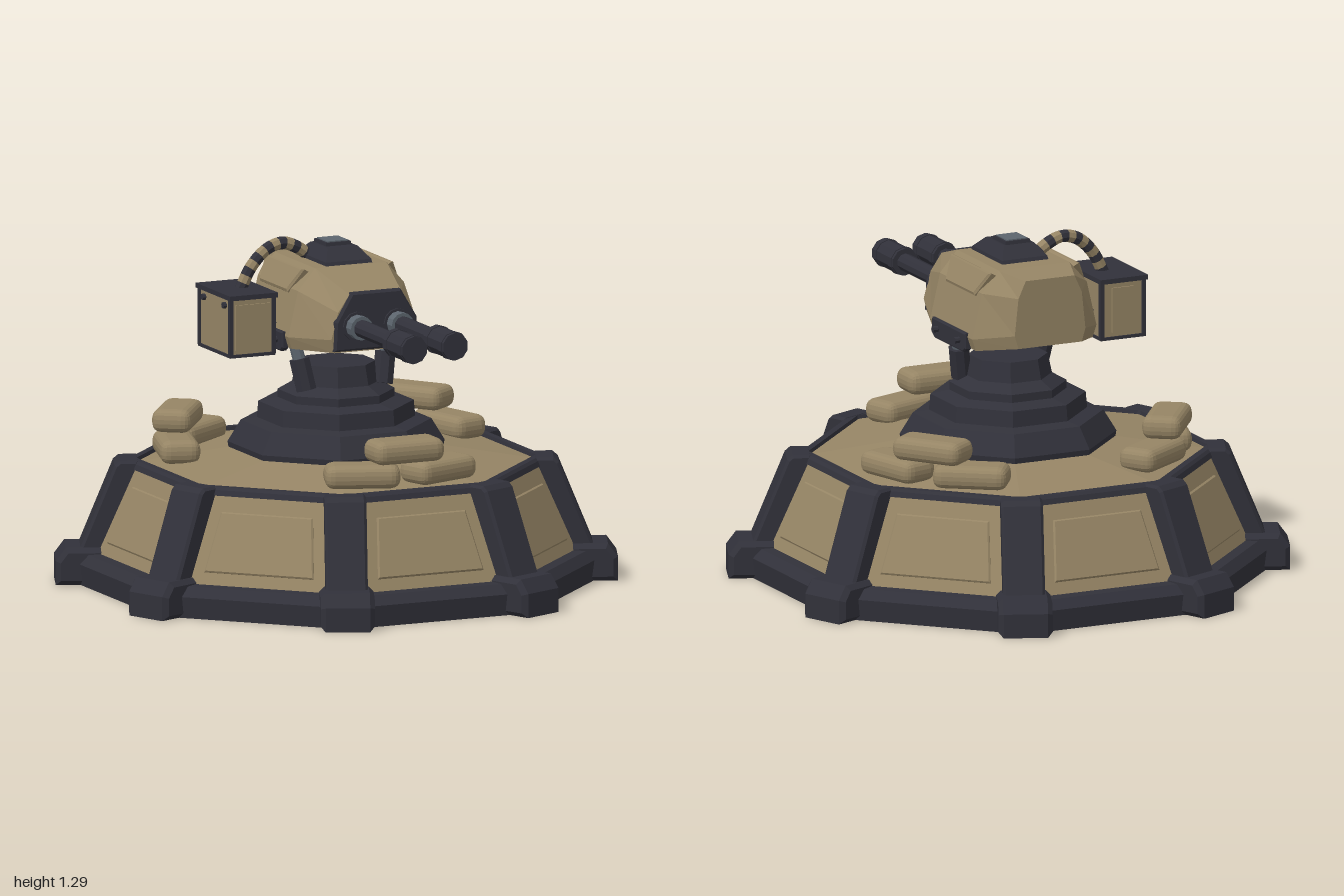
import * as THREE from 'three';
import { RoundedBoxGeometry } from 'three/addons/geometries/RoundedBoxGeometry.js';

const material = (name, color, flat = true) => {
  const m = new THREE.MeshStandardMaterial({ color, flatShading: flat });
  m.name = name;
  return m;
};

export function createModel() {
  const tan = material('sand paint', 0x968565);
  const dark = material('dark metal', 0x31313a);
  const grey = material('grey steel', 0x5c656e);
  const model = new THREE.Group();
  model.name = 'turretEmplacement';

  function add(name, geometry, mat, x = 0, y = 0, z = 0, parent = model) {
    const mesh = new THREE.Mesh(geometry, mat);
    mesh.name = name;
    mesh.position.set(x, y, z);
    parent.add(mesh);
    return mesh;
  }
  function group(name, parent = model) {
    const g = new THREE.Group();
    g.name = name;
    parent.add(g);
    return g;
  }

  // Eight-sided solid from [apothem, height] points, flats facing the axes
  const octagon = (points) => new THREE.LatheGeometry(
    points.map(([a, y]) => new THREE.Vector2(a / Math.cos(Math.PI / 8), y)), 8, Math.PI / 8);

  // Solid through matching loops, listed from back to front
  function loft(rings) {
    const out = [];
    const tri = (...pts) => pts.forEach((p) => out.push(...p));
    const n = rings[0].length;
    for (let i = 0; i < rings.length - 1; i++) {
      for (let j = 0; j < n; j++) {
        const k = (j + 1) % n;
        const [a, b, c, d] = [rings[i][j], rings[i][k], rings[i + 1][k], rings[i + 1][j]];
        tri(a, b, c);
        tri(a, c, d);
      }
    }
    const last = rings[rings.length - 1];
    for (let j = 1; j < n - 1; j++) {
      tri(last[0], last[j], last[j + 1]);
      tri(rings[0][0], rings[0][j + 1], rings[0][j]);
    }
    const g = new THREE.BufferGeometry();
    g.setAttribute('position', new THREE.Float32BufferAttribute(out, 3));
    g.computeVertexNormals();
    return g;
  }
  const rect = (w, h, z) => [[-w, -h, z], [w, -h, z], [w, h, z], [-w, h, z]];

  // Bevelled plate, centred in depth
  function plate(points, depth, bevel) {
    const shape = new THREE.Shape(points.map(([x, y]) => new THREE.Vector2(x, y)));
    const g = new THREE.ExtrudeGeometry(shape, {
      depth: depth - 2 * bevel, bevelEnabled: true, bevelSegments: 1,
      bevelSize: bevel, bevelThickness: bevel, bevelOffset: -bevel,
    });
    return g.translate(0, 0, bevel - depth / 2);
  }
  function rod(name, from, to, r, mat, sides, parent) {
    const a = new THREE.Vector3(...from), b = new THREE.Vector3(...to);
    const mesh = add(name, new THREE.CylinderGeometry(r, r, a.distanceTo(b), sides), mat, 0, 0, 0, parent);
    mesh.position.copy(a).lerp(b, 0.5);
    mesh.quaternion.setFromUnitVectors(new THREE.Vector3(0, 1, 0), b.sub(a).normalize());
    return mesh;
  }

  // Bunker base
  add('baseSkirt', octagon([[0, 0], [0.905, 0], [0.915, 0.08], [0.885, 0.115], [0.82, 0.12]]), dark);
  add('baseWall', octagon([[0.845, 0.115], [0.715, 0.435]]), tan);
  add('baseRim', octagon([[0.70, 0.425], [0.722, 0.43], [0.715, 0.45], [0.705, 0.46], [0.68, 0.46], [0.675, 0.435]]), dark);
  add('deck', octagon([[0.685, 0.445], [0.36, 0.5], [0, 0.5]]), tan);
  const slope = Math.atan2(0.13, 0.32);
  for (let i = 0; i < 8; i++) {
    const side = group('wallSide');
    side.rotation.y = i * Math.PI / 4;
    const panel = add('wallPanel', plate([[-0.215, -0.115], [0.215, -0.115], [0.18, 0.115], [-0.18, 0.115]], 0.016, 0.006),
      tan, 0, 0.267, 0.783, side);
    panel.rotation.x = -slope;
    const corner = group('cornerPost');
    corner.rotation.y = (i + 0.5) * Math.PI / 4;
    add('pillar', plate([[0.78, 0.08], [0.95, 0.1], [0.945, 0.14], [0.82, 0.445], [0.80, 0.462], [0.735, 0.462], [0.72, 0.43]], 0.155, 0.01),
      dark, 0, 0, 0, corner);
    add('foot', plate([[0.82, 0], [1.037, 0], [1.037, 0.09], [1.0, 0.14], [0.84, 0.14]], 0.2, 0.018), dark, 0, 0, 0, corner);
  }

  // Sandbag stacks
  for (const angle of [0, 2.2, -2.2]) {
    const stack = group('sandbagStack');
    stack.rotation.y = angle;
    const bag = (x, y, z, turn) => {
      add('sandbag', new RoundedBoxGeometry(0.28, 0.088, 0.15, 2, 0.036), tan, x, y, z, stack).rotation.y = turn;
    };
    bag(-0.16, 0.503, 0.57, -0.35);
    bag(0.15, 0.503, 0.57, 0.33);
    bag(0, 0.59, 0.595, 0);
  }

  // Pedestal
  add('pedestal', octagon([[0.365, 0.49], [0.37, 0.52], [0.325, 0.6], [0.27, 0.61], [0.265, 0.67], [0.2, 0.685],
    [0.2, 0.715], [0.15, 0.745], [0.135, 0.82], [0, 0.82]]), dark);
  for (const s of [-1, 1]) {
    rod('strutSocket', [s * 0.155, 0.735, 0.075], [s * 0.175, 0.85, 0.055], 0.04, dark, 8);
    rod('strut', [s * 0.17, 0.82, 0.06], [s * 0.195, 0.94, 0.04], 0.024, grey, 10);
  }

  // Turret body: z, then width and height from the lower edge to the roof
  const turret = group('turret');
  const section = (z, ...half) => [
    ...half.map(([x, y]) => [x, y, z]),
    ...half.slice().reverse().map(([x, y]) => [-x, y, z]),
  ];
  add('turretBody', loft([
    section(-0.352, [0.13, 0.93], [0.145, 0.98], [0.13, 1.12], [0.1, 1.185]),
    section(-0.22, [0.24, 0.905], [0.255, 0.95], [0.215, 1.12], [0.145, 1.2]),
    section(0.13, [0.24, 0.905], [0.255, 0.95], [0.215, 1.12], [0.145, 1.2]),
    section(0.342, [0.165, 0.92], [0.178, 0.97], [0.15, 1.07], [0.105, 1.135]),
  ]), tan, 0, 0, 0, turret);

  for (const s of [-1, 1]) {
    // Raised cheek plates and lower side brackets
    const cheek = add('cheekPlate', plate([[-0.12, -0.05], [0.12, -0.05], [0.165, 0.05], [-0.165, 0.05]], 0.035, 0.008),
      tan, s * 0.193, 1.145, -0.06, turret);
    cheek.rotation.set(0, s * Math.PI / 2, 0);
    cheek.rotateX(-0.5);
    add('sideBracket', plate([[-0.14, -0.025], [-0.12, -0.04], [0.12, -0.04], [0.14, -0.025], [0.14, 0.035], [-0.14, 0.035]], 0.03, 0.005),
      dark, s * 0.25, 0.93, -0.04, turret).rotation.y = Math.PI / 2;
    for (const z of [-0.13, 0.05]) {
      rod('bracketBolt', [s * 0.26, 0.93, z], [s * 0.285, 0.93, z], 0.012, dark, 8, turret);
    }

    // Twin guns
    const x = s * 0.083, y = 1.017;
    rod('gunCollar', [x, y, 0.35], [x, y, 0.405], 0.045, grey, 12, turret);
    rod('gunBarrel', [x, y, 0.36], [x, y, 0.72], 0.033, dark, 10, turret);
    rod('muzzle', [x, y, 0.69], [x, y, 0.865], 0.052, dark, 10, turret);
    for (const z of [0.715, 0.84]) rod('muzzleBand', [x, y, z - 0.012], [x, y, z + 0.012], 0.055, dark, 10, turret);
    rod('gunPort', [x, y, 0.34], [x, y, 0.362], 0.055, dark, 12, turret);
  }
  add('gunMantlet', plate([[-0.17, 0.925], [0.17, 0.925], [0.165, 1.035], [0.1, 1.143], [-0.1, 1.143], [-0.165, 1.035]], 0.03, 0.008),
    dark, 0, 0, 0.34, turret);

  // Roof hatch
  const hatch = group('roofHatch', turret);
  hatch.position.set(0, 1.195, -0.015);
  hatch.rotation.x = -Math.PI / 2;
  add('hatchHousing', loft([rect(0.095, 0.133, 0), rect(0.092, 0.125, 0.018), rect(0.062, 0.075, 0.06)]), dark, 0, 0, 0, hatch);
  add('hatchFrame', loft([rect(0.052, 0.055, 0.055), rect(0.05, 0.052, 0.073)]), dark, 0, 0.015, 0, hatch);
  add('hatchWindow', loft([rect(0.042, 0.045, 0.07), rect(0.042, 0.045, 0.077)]), grey, 0, 0.015, 0, hatch);

  // Ammunition box on the right side
  const box = group('ammoBox', turret);
  box.position.set(-0.375, 0.99, -0.06);
  add('boxBody', new THREE.BoxGeometry(0.175, 0.21, 0.27), tan, 0, 0, 0, box);
  add('boxLid', new THREE.BoxGeometry(0.195, 0.018, 0.3), dark, 0, 0.114, 0, box);
  add('boxFloor', new THREE.BoxGeometry(0.185, 0.012, 0.28), dark, 0, -0.106, 0, box);
  add('boxFrontPanel', new THREE.BoxGeometry(0.14, 0.17, 0.008), tan, 0, 0, 0.137, box);
  add('boxBackPanel', new THREE.BoxGeometry(0.09, 0.17, 0.008), tan, 0, 0, -0.137, box);
  for (const x of [-0.086, 0.086]) {
    for (const z of [-0.132, 0.132]) add('boxPost', new THREE.BoxGeometry(0.016, 0.212, 0.016), dark, x, 0, z, box);
  }
  for (const z of [-0.09, 0.09]) {
    rod('boxLatch', [-0.08, 0.08, z], [-0.1, 0.08, z], 0.012, dark, 8, box);
  }
  add('boxArm', new THREE.BoxGeometry(0.09, 0.07, 0.14), dark, 0.12, -0.04, 0, box);

  // Striped feed hose, colours alternating along its length
  const path = new THREE.CatmullRomCurve3([[-0.36, 1.10, -0.065], [-0.315, 1.185, -0.065], [-0.25, 1.245, -0.07],
    [-0.18, 1.262, -0.078], [-0.12, 1.24, -0.08], [-0.07, 1.205, -0.08]].map((p) => new THREE.Vector3(...p)));
  const hose = new THREE.TubeGeometry(path, 26, 0.024, 8);
  for (let i = 0; i < 13; i++) hose.addGroup(i * 96, 96, i % 2);
  add('feedHose', hose, [dark, tan], 0, 0, 0, turret);

  return model;
}
